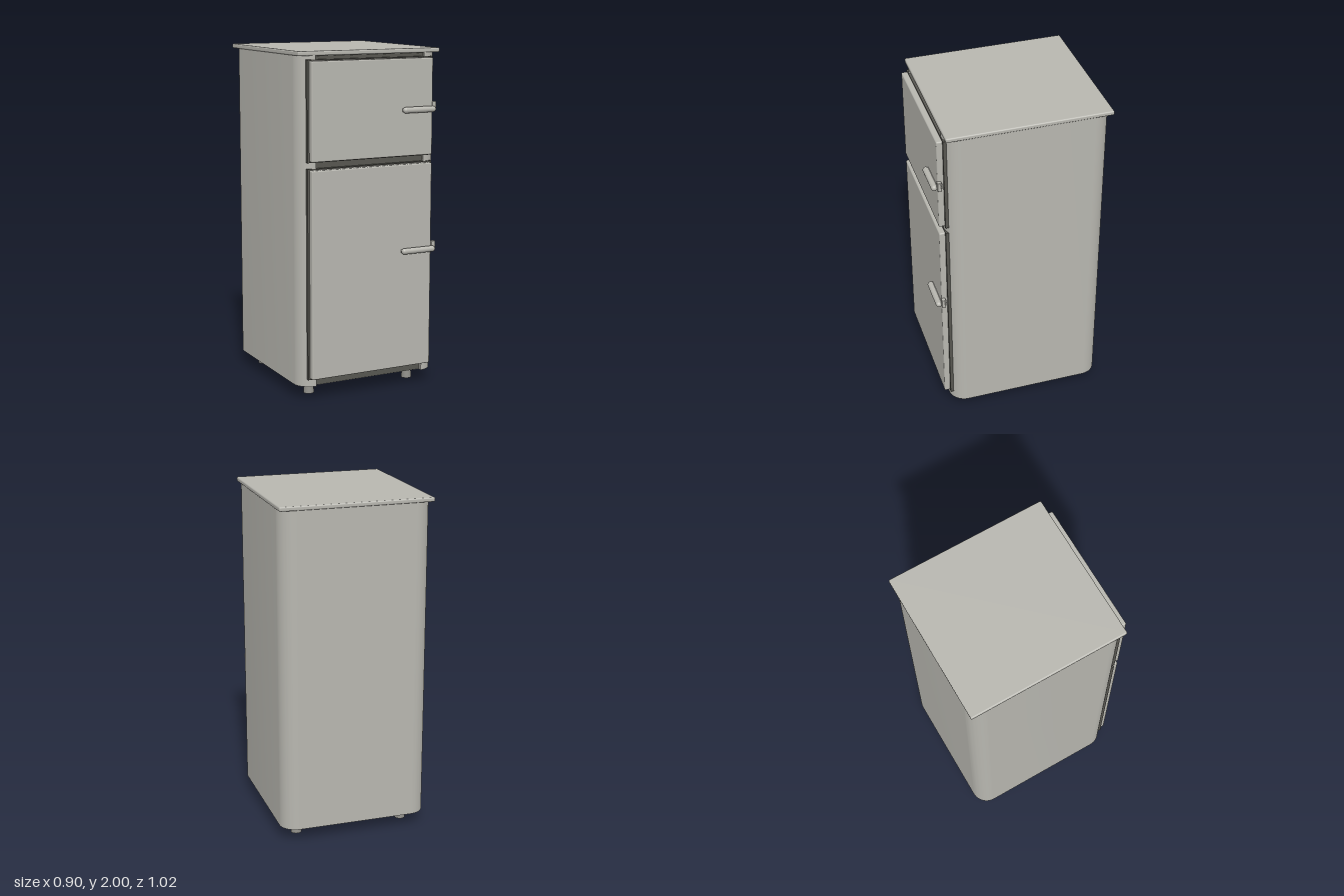
import * as THREE from 'three';
import { toCreasedNormals } from 'three/addons/utils/BufferGeometryUtils.js';
import { RoundedBoxGeometry } from 'three/addons/geometries/RoundedBoxGeometry.js';

const material = (name, color) => {
  const m = new THREE.MeshStandardMaterial({ color });
  m.name = name;
  return m;
};

export function createModel() {
  const group = new THREE.Group();
  group.name = 'fridge';
  const enamel = material('warm grey enamel', 0xb7b6af);
  const dark = material('dark grey seal', 0x575650);
  const metal = material('mid grey metal', 0x8f8e88);

  const add = (name, geometry, mat, x, y, z, parent = group) => {
    const mesh = new THREE.Mesh(geometry, mat);
    mesh.name = name;
    mesh.position.set(x, y, z);
    parent.add(mesh);
    return mesh;
  };
  // Box given by its limits, with softened edges
  const block = (name, mat, [x0, x1], [y0, y1], [z0, z1], radius, parent) =>
    add(name, new RoundedBoxGeometry(x1 - x0, y1 - y0, z1 - z0, 2, radius), mat,
      (x0 + x1) / 2, (y0 + y1) / 2, (z0 + z1) / 2, parent);

  // Cabinet: rounded corner columns with a shallow recess between the front ones
  const w = 0.445, back = 0.5, front = -0.44, r = 0.098;
  const plan = new THREE.Shape();
  plan.moveTo(0.35, front + 0.025);
  plan.lineTo(0.35, front);
  plan.absarc(w - r, front + r, r, -Math.PI / 2, 0, false);
  plan.absarc(w - r, back - r, r, 0, Math.PI / 2, false);
  plan.absarc(r - w, back - r, r, Math.PI / 2, Math.PI, false);
  plan.absarc(r - w, front + r, r, Math.PI, Math.PI * 1.5, false);
  plan.lineTo(-0.35, front);
  plan.lineTo(-0.35, front + 0.025);
  plan.closePath();
  const shell = new THREE.ExtrudeGeometry(plan, { depth: 1.9, bevelEnabled: false, curveSegments: 10 });
  shell.rotateX(-Math.PI / 2);
  add('cabinet', toCreasedNormals(shell, 0.5), [dark, enamel], 0, 0.077, 0);

  // Dark panel in the front recess
  add('frontPanel', new THREE.BoxGeometry(0.7, 1.89, 0.012), dark, 0, 1.027, 0.416);

  // Worktop
  block('worktop', enamel, [-0.452, 0.452], [1.974, 2], [-0.51, 0.44], 0.008);

  // Doors with a wider dark seal behind each
  for (const [name, y0, y1] of [['freezerDoor', 1.38, 1.953], ['mainDoor', 0.122, 1.345]]) {
    add(name + 'Seal', new THREE.BoxGeometry(0.8, y1 - y0, 0.03), dark, 0, (y0 + y1) / 2, 0.428);
    block(name, enamel, [-0.389, 0.387], [y0 + 0.006, y1 - 0.006], [0.436, 0.477], 0.008);
  }

  // Handles: a horizontal bar, its mount and a small latch at the opening edge
  for (const [name, y, x1] of [['freezerHandle', 1.653, 0.395], ['mainHandle', 0.83, 0.402]]) {
    const handle = new THREE.Group();
    handle.name = name;
    handle.position.y = y;
    group.add(handle);
    const bar = new THREE.CapsuleGeometry(0.018, x1 - 0.18 - 0.036, 5, 14);
    bar.rotateZ(Math.PI / 2);
    add('bar', bar, enamel, (0.18 + x1) / 2, 0, 0.494, handle);
    block('mount', enamel, [0.185, x1 - 0.01], [-0.01, 0.01], [0.47, 0.49], 0.003, handle);
    block('latch', enamel, [x1 - 0.015, x1 + 0.012], [-0.012, 0.042], [0.457, 0.482], 0.004, handle);
    block('latchTongue', enamel, [x1 - 0.015, x1 + 0.02], [0.01, 0.036], [0.455, 0.464], 0.002, handle);
  }

  // Tapered feet
  for (const x of [-0.33, 0.33])
    for (const z of [-0.36, 0.3])
      add('foot', new THREE.CylinderGeometry(0.024, 0.032, 0.08, 20), metal, x, 0.04, z);

  return group;
}
